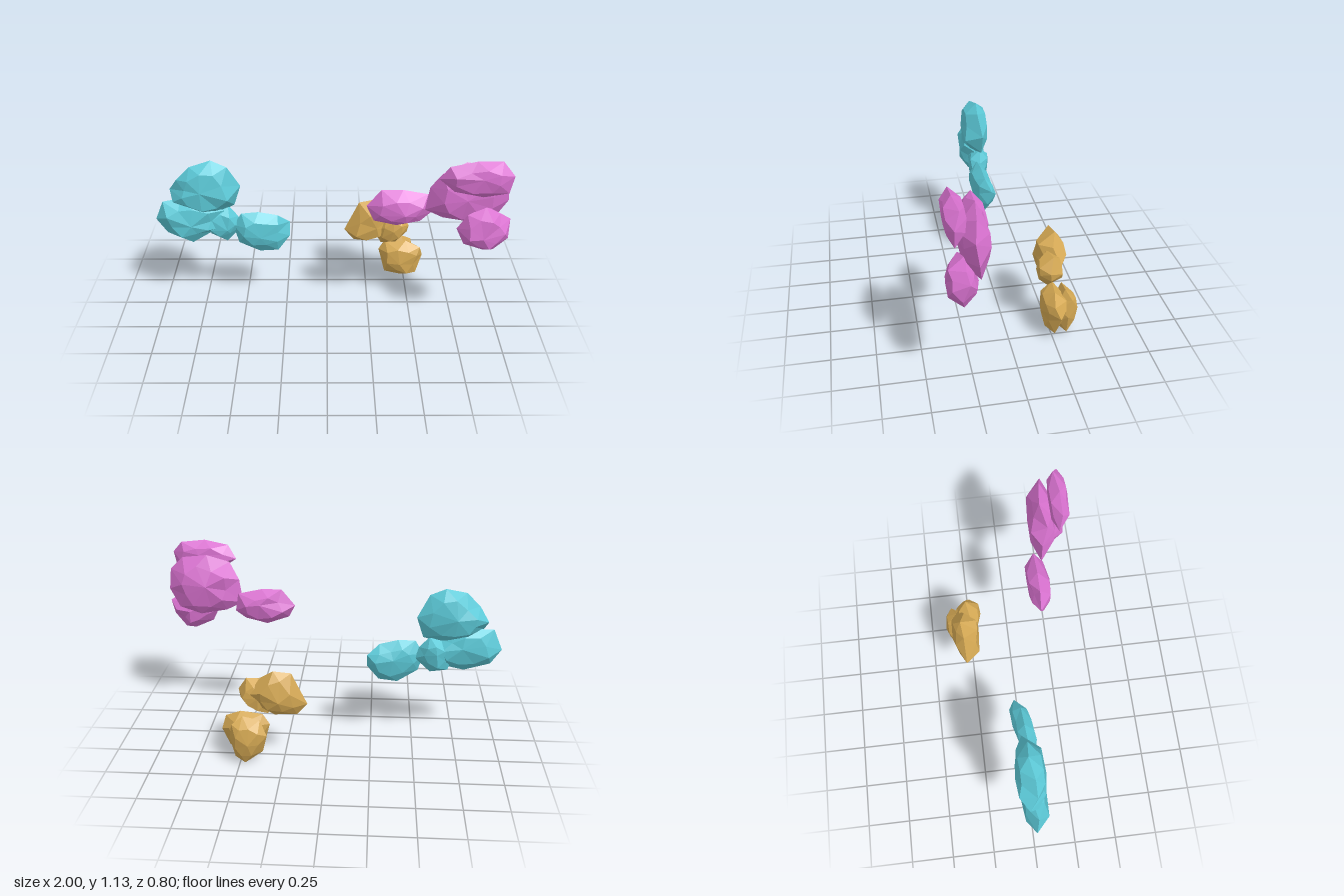
import * as THREE from 'three';

// Each lump: front outline (clockwise x,y pairs), back z, front z, z slope along x
const cyanLumps = [
  { name: 'topLump', z: [-0.09, 0.08], slope: 0, pts: [-.91, .78, -.86, .86, -.78, .94, -.66, .97, -.57, .93, -.50, .80, -.54, .68, -.66, .63, -.78, .65, -.89, .72] },
  { name: 'outerLump', z: [-0.07, 0.08], slope: -0.08, pts: [-1, .60, -.95, .72, -.85, .73, -.70, .72, -.60, .66, -.58, .55, -.68, .50, -.79, .455, -.94, .51] },
  { name: 'middleLump', z: [-0.08, 0.05], slope: 0, pts: [-.72, .58, -.66, .66, -.58, .68, -.52, .61, -.50, .54, -.59, .45, -.69, .48] },
  { name: 'innerLump', z: [-0.06, 0.06], slope: -0.12, pts: [-.55, .56, -.50, .64, -.40, .645, -.29, .62, -.22, .56, -.22, .48, -.29, .39, -.40, .38, -.52, .45] },
];
const pinkLumps = [
  { name: 'topLump', z: [0.28, 0.395], slope: 0, pts: [.59, 1.02, .64, 1.10, .78, 1.13, .92, 1.12, .98, 1.05, .96, .95, .83, .92, .67, .96] },
  { name: 'mainLump', z: [0.16, 0.32], slope: 0, pts: [.54, .78, .56, .92, .62, 1.02, .75, 1.07, .90, 1.05, .98, .97, .99, .85, .93, .74, .80, .70, .64, .73] },
  { name: 'lowerLump', z: [0.23, 0.39], slope: 0, pts: [.71, .70, .76, .80, .86, .84, .94, .80, 1.0, .76, .99, .66, .92, .58, .86, .575, .75, .62] },
  { name: 'sideLump', z: [0.115, 0.255], slope: -0.05, pts: [.22, .78, .30, .88, .42, .88, .56, .85, .58, .74, .52, .69, .39, .66, .26, .70] },
];
const goldLumps = [
  { name: 'upperBackLump', z: [-0.36, -0.19], slope: -0.08, pts: [.11, .36, .20, .55, .30, .565, .38, .51, .44, .42, .40, .33, .30, .29, .17, .29] },
  { name: 'upperFrontLump', z: [-0.32, -0.17], slope: 0, pts: [.29, .38, .37, .49, .46, .50, .51, .42, .50, .37, .43, .30, .34, .28] },
  { name: 'lowerFrontLump', z: [-0.33, -0.19], slope: 0, pts: [.33, .22, .37, .28, .50, .29, .59, .25, .61, .18, .57, .06, .47, .03, .37, .07] },
  { name: 'lowerBackLump', z: [-0.40, -0.27], slope: 0, pts: [.34, .18, .38, .27, .48, .29, .54, .25, .56, .15, .53, .03, .47, 0, .37, .06] },
];

function seeded(seed) {
  return () => {
    seed = (seed * 16807) % 2147483647;
    return (seed / 2147483647) * 2 - 1;
  };
}

// Faceted pebble: the outline as a rim, a smaller ring and an apex on each side
function lumpGeometry({ pts, z, slope }, seed) {
  const rnd = seeded(seed);
  const n = pts.length / 2;
  const mid = (z[0] + z[1]) / 2, half = (z[1] - z[0]) / 2;
  const rim = [];
  for (let i = 0; i < n; i++) {
    rim.push(new THREE.Vector3(pts[2 * i], pts[2 * i + 1], mid + rnd() * half * 0.3));
  }
  const centre = rim.reduce((s, p) => s.add(p), new THREE.Vector3()).divideScalar(n);
  const positions = [];
  const lean = (p) => [p.x, p.y, p.z + slope * (p.x - centre.x)];
  const tri = (a, b, c) => positions.push(...lean(a), ...lean(b), ...lean(c));

  for (const side of [1, -1]) {
    const ring = rim.map((p, i) => {
      const q = p.clone().lerp(rim[(i + 1) % n], 0.5);
      q.lerp(centre, 0.34 + rnd() * 0.1);
      q.z = mid + side * half * (0.76 + rnd() * 0.16);
      return q;
    });
    const apex = new THREE.Vector3(centre.x + rnd() * 0.03, centre.y + rnd() * 0.03, mid + side * half);
    const face = side > 0 ? (a, b, c) => tri(a, c, b) : tri;
    for (let i = 0; i < n; i++) {
      const j = (i + 1) % n;
      face(rim[i], rim[j], ring[i]);
      face(ring[i], rim[j], ring[j]);
      face(ring[i], ring[j], apex);
    }
  }
  const geo = new THREE.BufferGeometry();
  geo.setAttribute('position', new THREE.Float32BufferAttribute(positions, 3));
  geo.computeVertexNormals();
  // The outline runs clockwise from the front, so turn faces that ended up inward
  return geo;
}

function cluster(name, lumps, material, seed) {
  const group = new THREE.Group();
  group.name = name;
  lumps.forEach((lump, i) => {
    const mesh = new THREE.Mesh(lumpGeometry(lump, seed + i * 977), material);
    mesh.name = lump.name;
    group.add(mesh);
  });
  return group;
}

function flat(name, color) {
  const m = new THREE.MeshStandardMaterial({ color, flatShading: true });
  m.name = name;
  return m;
}

export function createModel() {
  const model = new THREE.Group();
  model.name = 'floatingClouds';
  model.add(
    cluster('cyanCloud', cyanLumps, flat('cyan', 0x5bc8d6), 4211),
    cluster('pinkCloud', pinkLumps, flat('pink', 0xd972d0), 7919),
    cluster('goldCloud', goldLumps, flat('gold', 0xd4a853), 1301),
  );
  return model;
}
